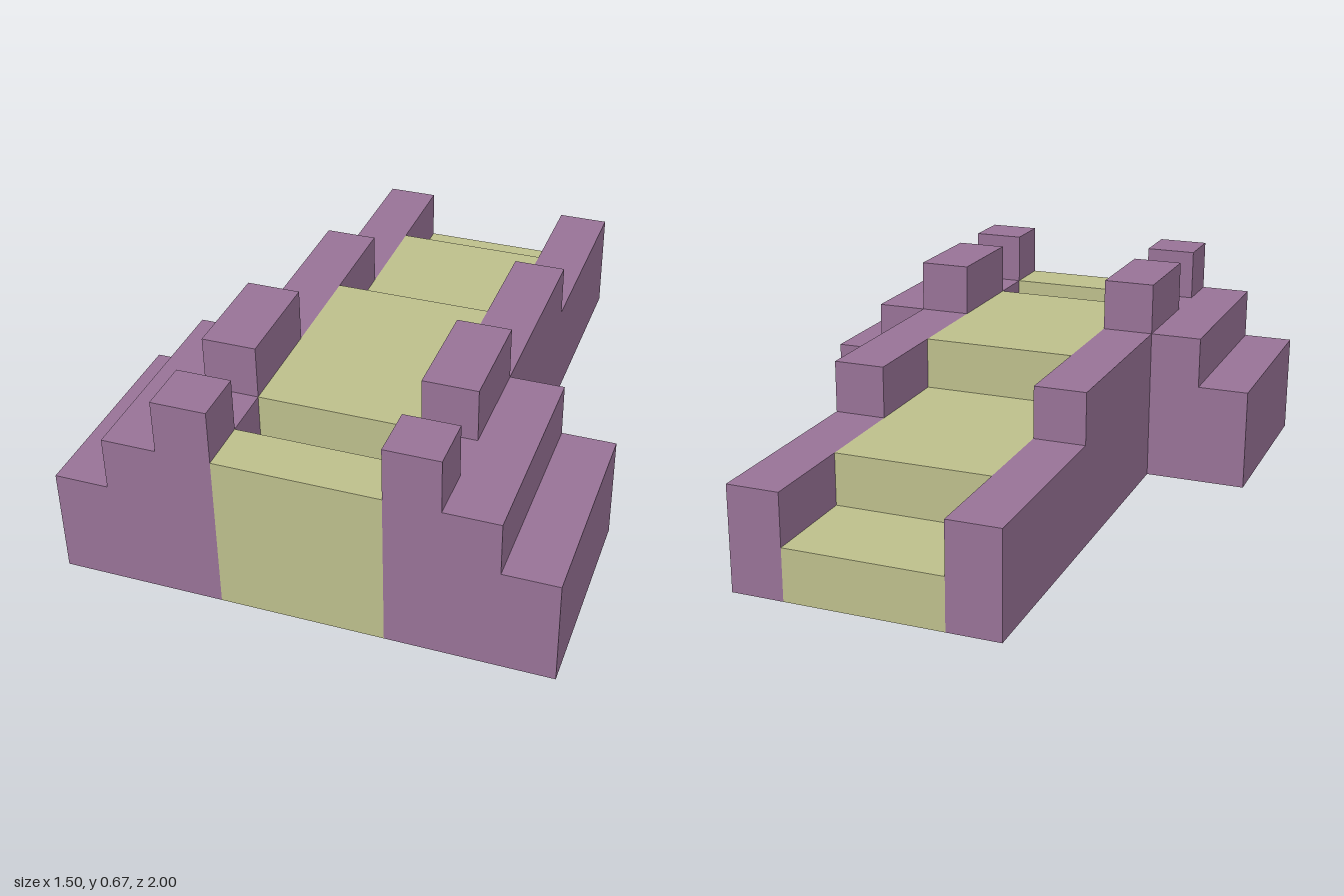
import * as THREE from 'three';

const U = 1 / 6; // one block

// Stepped side profile: steps are [zEnd, height] in blocks, running from zStart
// towards +z; the profile is extruded across x0..x1.
function steppedGeometry(zStart, steps, x0, x1) {
  const shape = new THREE.Shape();
  shape.moveTo(-zStart * U, 0);
  let z = zStart;
  for (const [zEnd, height] of steps) {
    shape.lineTo(-z * U, height * U);
    shape.lineTo(-zEnd * U, height * U);
    z = zEnd;
  }
  shape.lineTo(-z * U, 0);
  const geometry = new THREE.ExtrudeGeometry(shape, { depth: (x1 - x0) * U, bevelEnabled: false });
  geometry.rotateY(Math.PI / 2); // shape x becomes -z, depth becomes x
  geometry.translate(x0 * U, 0, 0);
  return geometry;
}

export function createModel() {
  const purple = new THREE.MeshStandardMaterial({ color: 0x977296 });
  const olive = new THREE.MeshStandardMaterial({ color: 0xbcbe8b });
  const grey = new THREE.MeshStandardMaterial({ color: 0x888888 });
  purple.name = 'purple';
  olive.name = 'olive';
  grey.name = 'grey';

  const model = new THREE.Group();
  model.name = 'steppedRamp';
  const add = (name, geometry, material) => {
    const mesh = new THREE.Mesh(geometry, material);
    mesh.name = name;
    model.add(mesh);
    return mesh;
  };

  // Central stepped walkway with a cross slot near the front
  add('walkway', steppedGeometry(-6, [[-4, 1], [0, 2], [4, 3], [5, 2], [6, 3]], -1.5, 1.5), olive);

  // Grey tile on the slot floor
  const tile = add('slotTile', new THREE.BoxGeometry(U, 0.005, U), grey);
  tile.position.set(U, 2 * U + 0.0025, 4.5 * U);

  // Side walls with battlements, and stepped front wings
  const wall = [[-2, 2], [2, 3], [4, 4], [5, 3], [6, 4]];
  for (const [side, s] of [['left', 1], ['right', -1]]) {
    const strip = (name, zStart, steps, a, b) =>
      add(side + name, steppedGeometry(zStart, steps, Math.min(s * a, s * b), Math.max(s * a, s * b)), purple);
    strip('Wall', -6, wall, 1.5, 2.5);
    strip('InnerWing', 2, [[6, 3]], 2.5, 3.5);
    strip('OuterWing', 2, [[6, 2]], 3.5, 4.5);
  }
  return model;
}
